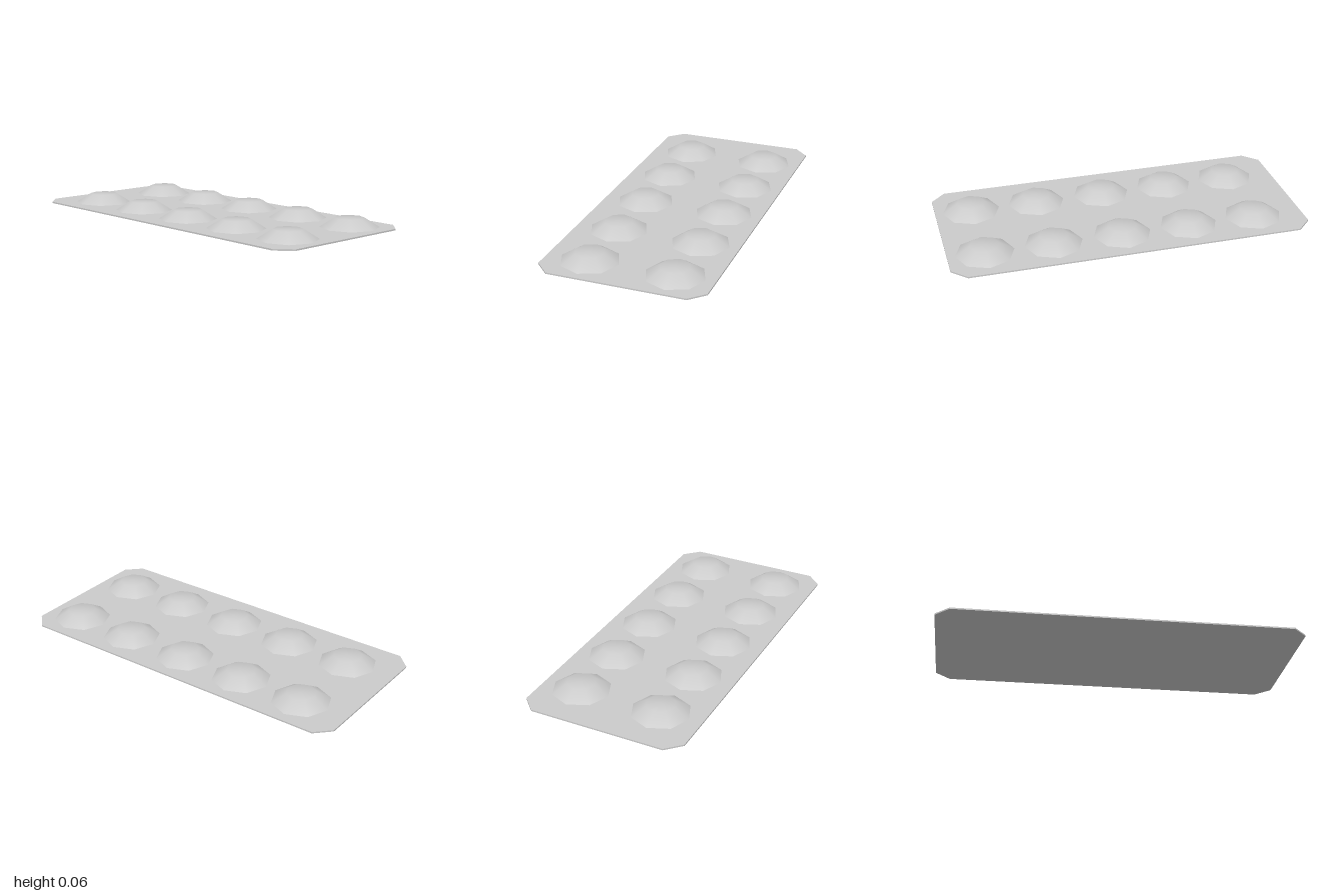
import * as THREE from 'three';

export function createModel() {
  const group = new THREE.Group();
  const material = new THREE.MeshStandardMaterial({ color: 0xcccccc });

  // Thin backing sheet with cut corners
  const w = 1, d = 0.458, cut = 0.08, thick = 0.008;
  const outline = new THREE.Shape([
    [w - cut, -d], [w, -d + cut], [w, d - cut], [w - cut, d],
    [-w + cut, d], [-w, d - cut], [-w, -d + cut], [-w + cut, -d],
  ].map(([x, y]) => new THREE.Vector2(x, y)));
  const sheetGeometry = new THREE.ExtrudeGeometry(outline, { depth: thick, bevelEnabled: false });
  sheetGeometry.rotateX(-Math.PI / 2);
  const sheet = new THREE.Mesh(sheetGeometry, material);
  sheet.name = 'backingSheet';
  group.add(sheet);

  // Eight-sided smooth-shaded blisters in two rows of five
  const profile = [[0.16, thick], [0.08, 0.058], [0, 0.058]].map(([r, y]) => new THREE.Vector2(r, y));
  const blisterGeometry = new THREE.LatheGeometry(profile, 8);
  const blisters = new THREE.Group();
  blisters.name = 'blisters';
  for (const z of [-0.244, 0.224]) {
    for (const x of [-0.72, -0.34, 0.04, 0.423, 0.798]) {
      const blister = new THREE.Mesh(blisterGeometry, material);
      blister.name = 'blister';
      blister.position.set(x, 0, z);
      blisters.add(blister);
    }
  }
  group.add(blisters);
  return group;
}
